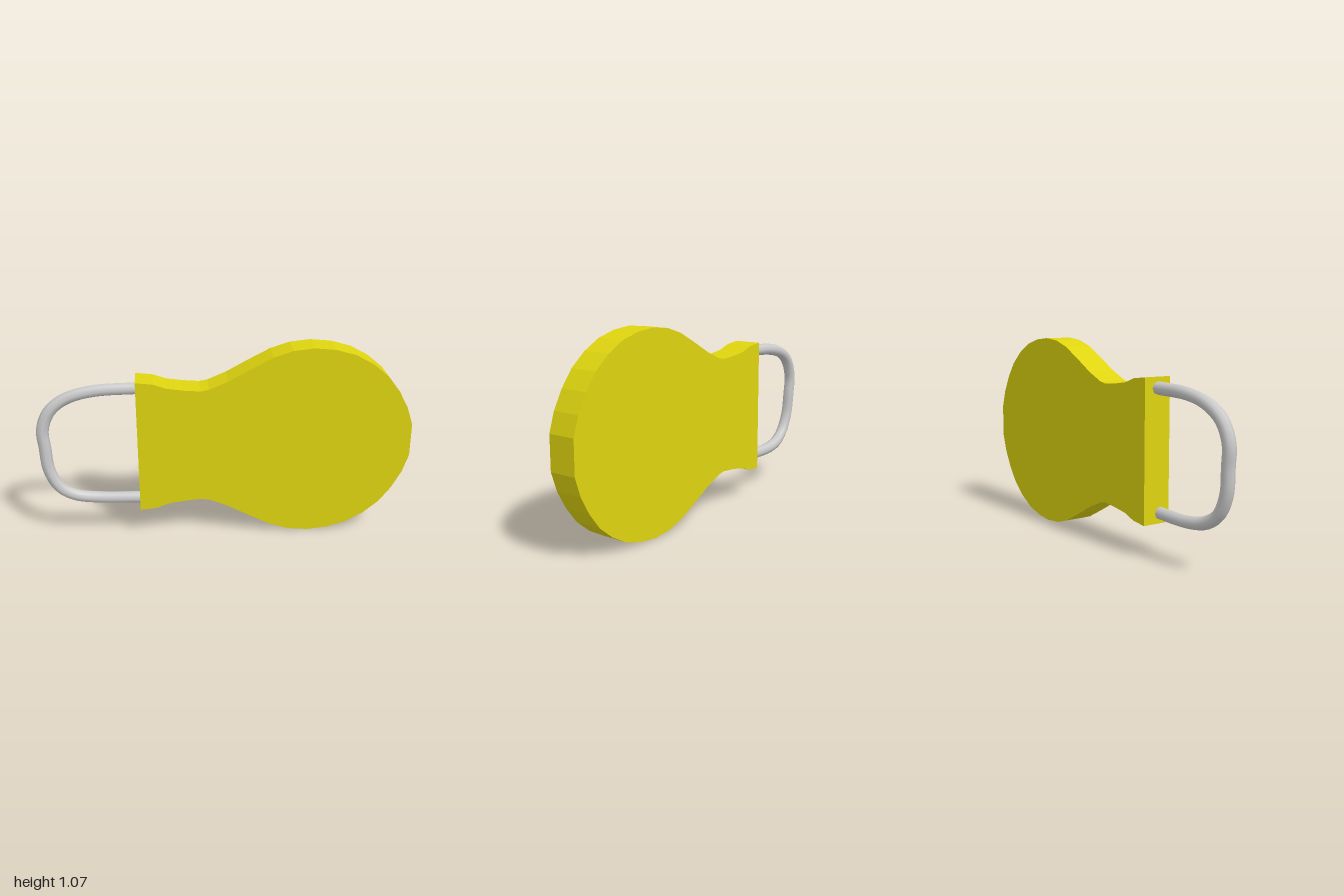
import * as THREE from 'three';

export function createModel() {
  const group = new THREE.Group();
  const yellow = new THREE.MeshStandardMaterial({ color: 0xded40f });
  yellow.name = 'yellow';
  yellow.flatShading = true;
  const steel = new THREE.MeshStandardMaterial({ color: 0xcbcbcb });
  steel.name = 'steel';

  // Flat body: upper outline, mirrored about its middle line
  const midY = 0.535;
  const upper = [
    [-0.47, 0.905], [-0.38, 0.895], [-0.31, 0.87], [-0.22, 0.857], [-0.135, 0.85],
    [-0.09, 0.858], [0.01, 0.9], [0.125, 0.963], [0.245, 1.025], [0.345, 1.057],
    [0.455, 1.068], [0.565, 1.057], [0.67, 1.027], [0.765, 0.975], [0.85, 0.905],
    [0.915, 0.82], [0.967, 0.725], [1.0, 0.625],
  ].map(([x, y]) => new THREE.Vector2(x, y));
  const lower = upper.map((p) => new THREE.Vector2(p.x, 2 * midY - p.y));
  const outline = new THREE.Shape([...lower, ...upper.slice().reverse()]);
  const bodyGeometry = new THREE.ExtrudeGeometry(outline, { depth: 0.155, bevelEnabled: false });
  bodyGeometry.translate(0, 0, -0.078);
  const body = new THREE.Mesh(bodyGeometry, yellow);
  body.name = 'body';
  group.add(body);

  // Bent wire loop, its ends sunk into the body
  const path = new THREE.CatmullRomCurve3([
    [-0.44, 0.85, 0.002], [-0.7, 0.838, 0], [-0.84, 0.8, 0.003], [-0.925, 0.735, 0.01],
    [-0.967, 0.635, 0.015], [-0.962, 0.53, 0.018], [-0.95, 0.4, 0.023], [-0.9, 0.297, 0.025],
    [-0.825, 0.245, 0.018], [-0.71, 0.222, 0.012], [-0.44, 0.218, 0.025],
  ].map((p) => new THREE.Vector3(...p)));
  const loop = new THREE.Mesh(new THREE.TubeGeometry(path, 48, 0.033, 8), steel);
  loop.name = 'wireLoop';
  group.add(loop);

  return group;
}
